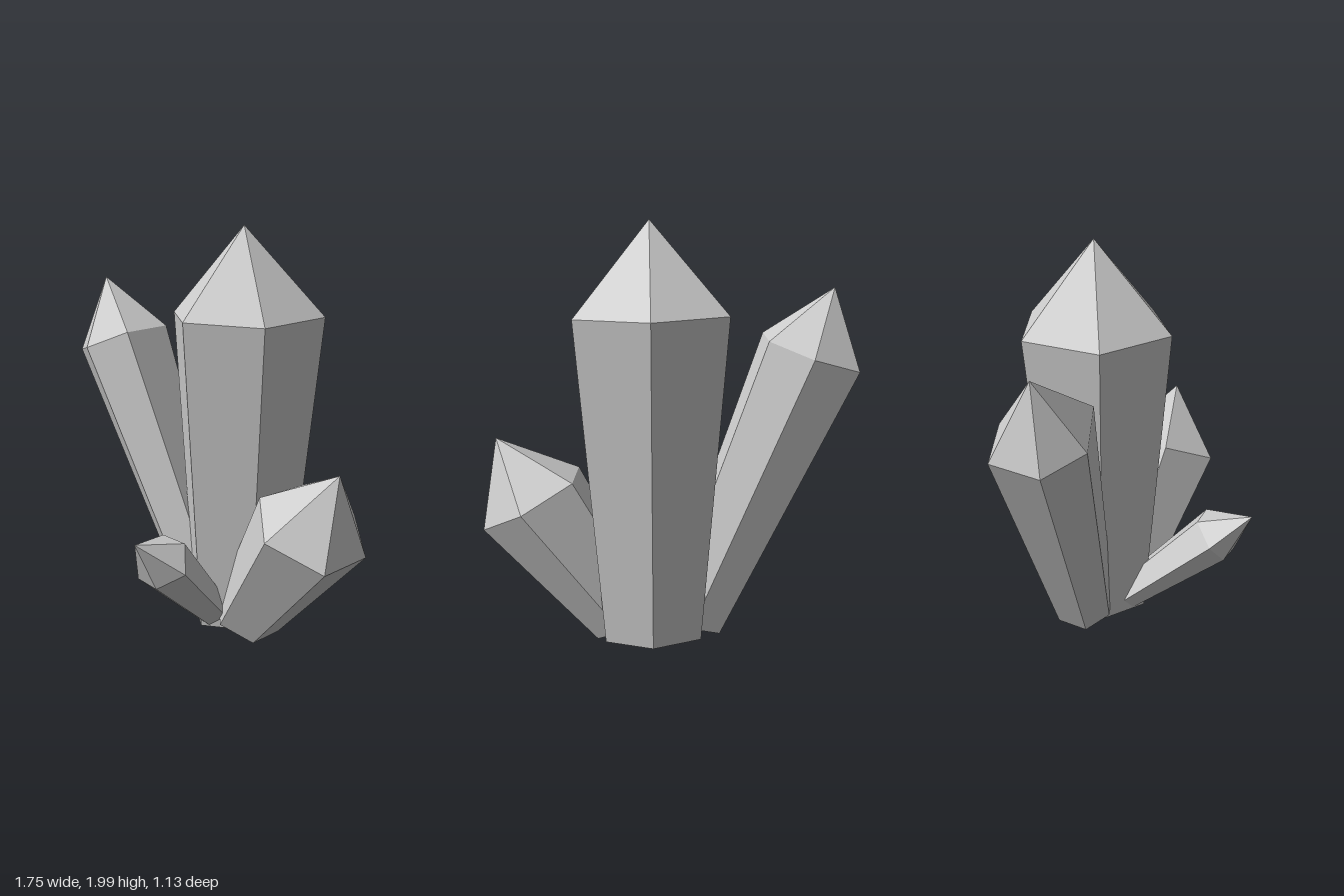
import * as THREE from 'three';

const material = new THREE.MeshStandardMaterial({ color: 0xcccccc, flatShading: true });

// Each crystal: six shoulder corners, a tip, and a base that is a smaller copy of the shoulder ring.
const CRYSTALS = [
  {
    name: 'mainCrystal', tip: [0.09, 2, -0.23], base: [0.08, 0.04, -0.222], taper: 0.65,
    shoulder: [[0.09, 1.59, -0.57], [-0.26, 1.595, -0.43], [-0.21, 1.575, -0.06],
      [0.09, 1.59, 0.165], [0.39, 1.575, -0.06], [0.43, 1.585, -0.43]],
  },
  {
    name: 'rightCrystal', tip: [-0.77, 1.68, -0.1], base: [-0.11, 0.09, -0.21], taper: 0.62,
    shoulder: [[-0.65, 1.38, -0.33], [-0.87, 1.31, -0.26], [-0.875, 1.295, -0.01],
      [-0.68, 1.35, 0.11], [-0.455, 1.45, 0.03], [-0.455, 1.45, -0.23]],
  },
  {
    name: 'leftCrystal', tip: [0.815, 0.975, -0.1], base: [0.21, 0.08, -0.166], taper: 0.62,
    shoulder: [[0.68, 0.68, -0.39], [0.45, 0.8, -0.28], [0.43, 0.8, 0],
      [0.63, 0.68, 0.18], [0.87, 0.56, 0.05], [0.87, 0.565, -0.24]],
  },
  {
    name: 'frontCrystal', tip: [0.2, 0.655, 0.565], base: [0.076, 0.097, -0.05], taper: 0.62,
    shoulder: [[0.11, 0.61, 0.31], [0.025, 0.53, 0.41], [0.1, 0.43, 0.46],
      [0.23, 0.42, 0.465], [0.34, 0.5, 0.385], [0.25, 0.605, 0.305]],
  },
];

function makeCrystal({ name, tip, base, taper, shoulder }) {
  const tipPoint = new THREE.Vector3(...tip);
  const baseCentre = new THREE.Vector3(...base);
  const upper = shoulder.map((p) => new THREE.Vector3(...p));
  const centre = upper.reduce((sum, p) => sum.add(p), new THREE.Vector3()).divideScalar(upper.length);
  const lower = upper.map((p) => p.clone().sub(centre).multiplyScalar(taper).add(baseCentre));

  const points = [];
  upper.forEach((top, i) => {
    const j = (i + 1) % upper.length;
    points.push(lower[i], lower[j], upper[j], lower[i], upper[j], top); // side
    points.push(top, upper[j], tipPoint); // pointed cap
    points.push(lower[j], lower[i], baseCentre); // underside
  });

  const geometry = new THREE.BufferGeometry().setFromPoints(points);
  geometry.computeVertexNormals();
  const mesh = new THREE.Mesh(geometry, material);
  mesh.name = name;
  return mesh;
}

export function createModel() {
  const group = new THREE.Group();
  group.name = 'crystalCluster';
  CRYSTALS.forEach((crystal) => group.add(makeCrystal(crystal)));
  return group;
}
